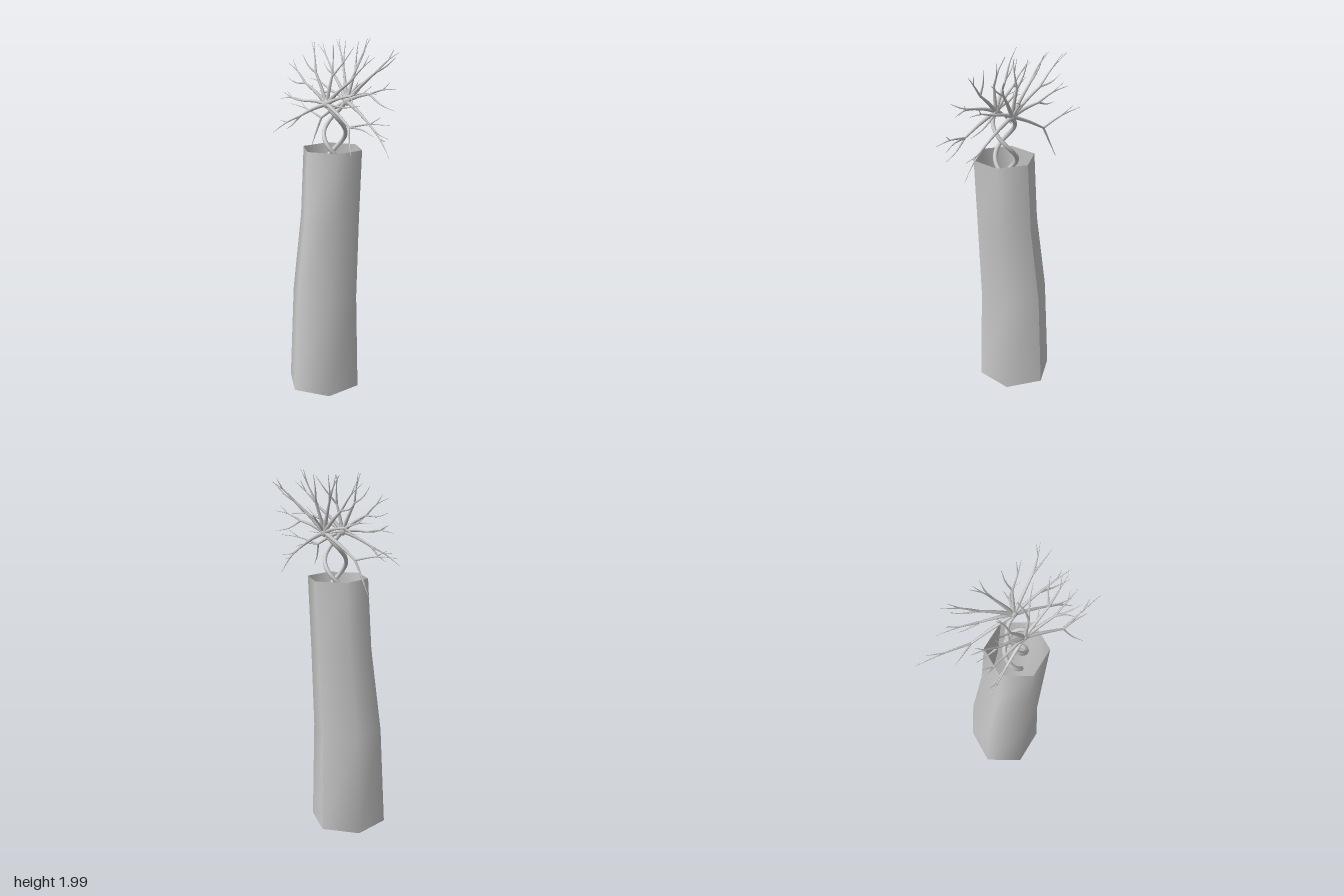
import * as THREE from 'three';

const V = (x, y, z) => new THREE.Vector3(x, y, z);
const material = new THREE.MeshStandardMaterial({ color: 0xcccccc });
const openMaterial = new THREE.MeshStandardMaterial({ color: 0xcccccc, side: THREE.DoubleSide });

function addMesh(parent, name, geometry, mat = material) {
  const mesh = new THREE.Mesh(geometry, mat);
  mesh.name = name;
  parent.add(mesh);
  return mesh;
}

// Tube whose radius shrinks from r0 to r1 along the path
function taperedTube(points, r0, r1, segments, sides) {
  const path = new THREE.CatmullRomCurve3(points);
  const geometry = new THREE.TubeGeometry(path, segments, r0, sides);
  const pos = geometry.attributes.position;
  const p = V(0, 0, 0);
  for (let i = 0; i < pos.count; i++) {
    const t = Math.floor(i / (sides + 1)) / segments;
    const centre = path.getPointAt(t);
    p.fromBufferAttribute(pos, i).sub(centre);
    p.multiplyScalar(THREE.MathUtils.lerp(1, r1 / r0, t)).add(centre);
    pos.setXYZ(i, p.x, p.y, p.z);
  }
  return geometry;
}

// Hollow six-sided trunk, open at both ends and bent along its height
function trunkGeometry() {
  const rings = [ // y, centre x, centre z, radius
    [0, -0.013, -0.065, 0.213],
    [0.56, -0.013, -0.055, 0.193],
    [1.02, -0.015, -0.005, 0.172],
    [1.41, -0.015, 0.02, 0.169],
  ];
  const geometry = new THREE.CylinderGeometry(1, 1, 1, 6, rings.length - 1, true);
  const pos = geometry.attributes.position;
  for (let i = 0; i < pos.count; i++) {
    const [y, cx, cz, r] = rings[rings.length - 1 - Math.floor(i / 7)];
    const a = ((i % 7) / 6) * Math.PI * 2 + Math.PI / 2;
    pos.setXYZ(i, cx + Math.sin(a) * r, y, cz + Math.cos(a) * r);
  }
  geometry.computeVertexNormals();
  return geometry;
}

// One strand of the twisted stem
function strandPoints(phase) {
  const points = [];
  for (let i = 0; i <= 24; i++) {
    const t = i / 24;
    const a = phase + (t - 1) * Math.PI * 2.1;
    points.push(V(-0.004 + Math.cos(a) * 0.06, 1.23 + t * 0.42, 0.005 + t * 0.033 + Math.sin(a) * 0.055));
  }
  return points;
}

// Each branch: the knee where it forks, then the twig tips
const rightCrown = {
  hub: V(-0.065, 1.655, 0.032),
  branches: [
    { knee: [-0.085, 1.56, 0.24], tips: [[-0.03, 1.595, 0.488], [-0.145, 1.43, 0.33], [-0.06, 1.53, 0.4]] },
    { knee: [-0.135, 1.58, -0.11], tips: [[-0.21, 1.48, -0.255], [-0.16, 1.5, -0.2]] },
    { knee: [-0.11, 1.66, -0.11], tips: [[-0.155, 1.66, -0.26], [-0.16, 1.7, -0.22]] },
    { knee: [-0.085, 1.75, -0.12], tips: [[-0.095, 1.85, -0.27], [-0.11, 1.77, -0.25]] },
    { knee: [-0.07, 1.81, -0.05], tips: [[-0.05, 1.97, -0.11], [-0.09, 1.9, -0.14]] },
    { knee: [-0.05, 1.8, 0.06], tips: [[-0.01, 1.95, 0.016], [0.04, 1.95, 0.13]] },
    { knee: [-0.03, 1.78, 0.18], tips: [[0.02, 1.91, 0.31], [0.04, 1.94, 0.22]] },
    { knee: [-0.06, 1.71, 0.2], tips: [[0, 1.73, 0.36], [-0.09, 1.76, 0.33], [-0.1, 1.68, 0.29]] },
  ],
};
const leftCrown = {
  hub: V(0.063, 1.66, 0.045),
  branches: [
    { knee: [0.075, 1.54, -0.19], tips: [[0.083, 1.585, -0.49], [0.078, 1.35, -0.295], [0.075, 1.42, -0.26]] },
    { knee: [0.06, 1.56, 0.23], tips: [[0.06, 1.4, 0.39], [0.06, 1.5, 0.38]] },
    { knee: [0.09, 1.7, -0.13], tips: [[0.11, 1.745, -0.345], [0.1, 1.68, -0.24]] },
    { knee: [0.105, 1.79, -0.12], tips: [[0.135, 1.94, -0.295], [0.14, 1.84, -0.25]] },
    { knee: [0.11, 1.83, -0.04], tips: [[0.14, 1.97, -0.14], [0.16, 1.97, -0.08]] },
    { knee: [0.11, 1.82, 0.06], tips: [[0.15, 1.99, 0.13], [0.155, 1.97, 0.03]] },
    { knee: [0.14, 1.82, 0.19], tips: [[0.222, 1.92, 0.272], [0.17, 1.9, 0.305]] },
    { knee: [0.085, 1.71, 0.2], tips: [[0.1, 1.75, 0.385], [0.1, 1.64, 0.38]] },
  ],
};

function buildCrown(name, { hub, branches }) {
  const crown = new THREE.Group();
  crown.name = name;
  // Swollen knot where the branches meet
  const knot = addMesh(crown, 'knot', new THREE.SphereGeometry(0.02, 8, 6));
  knot.position.copy(hub);
  knot.scale.set(0.8, 1.3, 1.1);
  branches.forEach(({ knee, tips }) => {
    const k = V(...knee);
    const middle = hub.clone().lerp(k, 0.5).add(V(0, 0.006, 0));
    addMesh(crown, 'branch', taperedTube([hub, middle, k], 0.012, 0.006, 6, 6));
    tips.forEach((tip, i) => {
      const end = V(...tip);
      const side = i % 2 ? -0.012 : 0.012;
      const mid = k.clone().lerp(end, 0.5).add(V(0, side, side * 0.5));
      addMesh(crown, 'twig', taperedTube([k, mid, end], 0.0065, 0.001, 6, 5));
      // Short side shoot on the first twig of each branch
      if (i === 0) {
        const along = end.clone().sub(k);
        const shoot = mid.clone().addScaledVector(along, 0.25).add(V(0.012, 0.03, -side));
        addMesh(crown, 'shoot', taperedTube([mid, shoot], 0.004, 0.001, 2, 4));
      }
    });
  });
  return crown;
}

export function createModel() {
  const model = new THREE.Group();
  model.name = 'hollowTrunkWithSapling';
  addMesh(model, 'trunk', trunkGeometry(), openMaterial);

  // Two strands winding around each other
  [0, Math.PI].forEach((phase) => {
    addMesh(model, 'stemStrand', taperedTube(strandPoints(phase), 0.013, 0.011, 40, 8), openMaterial);
  });

  // Side sprig on the left crown
  const sprig = [V(0.063, 1.66, 0.045), V(0.11, 1.72, 0.05), V(0.14, 1.75, 0.07), V(0.152, 1.77, 0.125)];
  addMesh(model, 'sideSprig', taperedTube(sprig, 0.009, 0.001, 8, 5));
  addMesh(model, 'sideSprig', taperedTube([sprig[1], V(0.155, 1.76, 0.035)], 0.006, 0.001, 3, 5));

  // Side sprig on the right crown
  const back = [V(-0.065, 1.655, 0.032), V(-0.085, 1.71, -0.04), V(-0.06, 1.73, -0.1), V(-0.045, 1.74, -0.115)];
  addMesh(model, 'sideSprig', taperedTube(back, 0.008, 0.001, 8, 5));
  addMesh(model, 'sideSprig', taperedTube([V(-0.065, 1.655, 0.032), V(-0.02, 1.64, 0.12), V(0.045, 1.65, 0.18)], 0.008, 0.001, 6, 5));

  model.add(buildCrown('rightCrown', rightCrown), buildCrown('leftCrown', leftCrown));
  return model;
}
